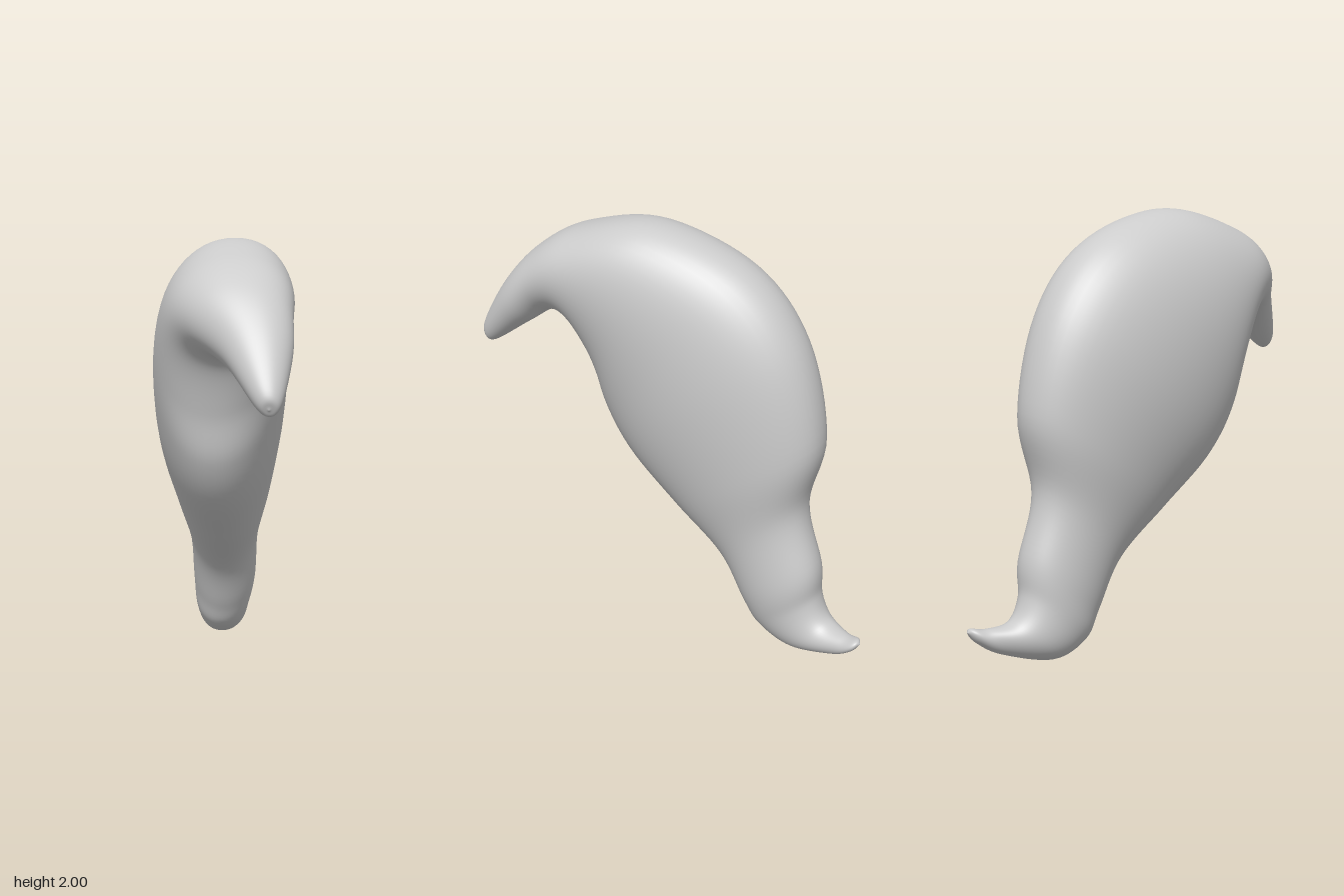
import * as THREE from 'three';

// Key sections from beak tip to tail tip:
// [outer edge x, y, z,  inner edge x, y, z,  half width]
const SECTIONS = [
  [0.18, 1.325, 0.975, 0.18, 1.325, 0.975, 0],
  [0.175, 1.405, 0.975, 0.18, 1.302, 0.93, 0.055],
  [0.135, 1.64, 0.84, 0.14, 1.425, 0.75, 0.145],
  [0.08, 1.82, 0.68, 0.06, 1.497, 0.63, 0.22],
  [0.06, 1.935, 0.47, 0.0, 1.45, 0.53, 0.27],
  [0.05, 2.0, 0.1, -0.04, 1.24, 0.45, 0.3],
  [0.02, 1.855, -0.34, -0.04, 1.02, 0.4, 0.31],
  [0.01, 1.56, -0.6, -0.03, 0.82, 0.27, 0.295],
  [0.01, 1.12, -0.712, -0.01, 0.615, 0.03, 0.235],
  [0.01, 0.77, -0.645, 0, 0.41, -0.22, 0.17],
  [0.015, 0.47, -0.725, 0, 0.19, -0.35, 0.155],
  [0.01, 0.31, -0.735, -0.01, 0.07, -0.43, 0.135],
  [0.02, 0.205, -0.79, 0, 0.005, -0.6, 0.11],
  [0.06, 0.185, -0.9, 0.05, 0.06, -0.83, 0.06],
  [0.08, 0.195, -0.965, 0.075, 0.125, -0.94, 0.04],
  [0.085, 0.18, -0.985, 0.085, 0.18, -0.985, 0],
];

const spline = (pick) => new THREE.CatmullRomCurve3(SECTIONS.map(pick), false, 'catmullrom', 0.5);

// Smooth loft: egg-shaped cross-sections strung between the outer and inner edges
function loftBody(rings, sides) {
  const outer = spline((s) => new THREE.Vector3(s[0], s[1], s[2]));
  const inner = spline((s) => new THREE.Vector3(s[3], s[4], s[5]));
  const width = spline((s) => new THREE.Vector3(s[6], 0, 0));
  const positions = [];
  const indices = [];
  for (let i = 0; i <= rings; i++) {
    const u = i / rings;
    const from = outer.getPoint(u);
    const to = inner.getPoint(u);
    const halfWidth = Math.max(0, width.getPoint(u).x);
    for (let j = 0; j < sides; j++) {
      const angle = (j / sides) * Math.PI * 2;
      const side = Math.sin(angle);
      // The widest point sits a little nearer the outer edge
      const across = Math.pow((1 - Math.cos(angle)) / 2, 1.04);
      const p = from.clone().lerp(to, across);
      p.x += halfWidth * Math.sign(side) * Math.pow(Math.abs(side), 0.96);
      positions.push(p.x, p.y, p.z);
      if (i < rings) {
        const a = i * sides + j;
        const b = i * sides + ((j + 1) % sides);
        indices.push(a, b, a + sides, b, b + sides, a + sides);
      }
    }
  }
  const geometry = new THREE.BufferGeometry();
  geometry.setAttribute('position', new THREE.Float32BufferAttribute(positions, 3));
  geometry.setIndex(indices);
  geometry.computeVertexNormals();
  return geometry;
}

export function createModel() {
  const group = new THREE.Group();
  group.name = 'hookedForm';
  const material = new THREE.MeshStandardMaterial({ color: 0xcccccc });
  const body = new THREE.Mesh(loftBody(120, 56), material);
  body.name = 'curvedBody';
  group.add(body);
  return group;
}
